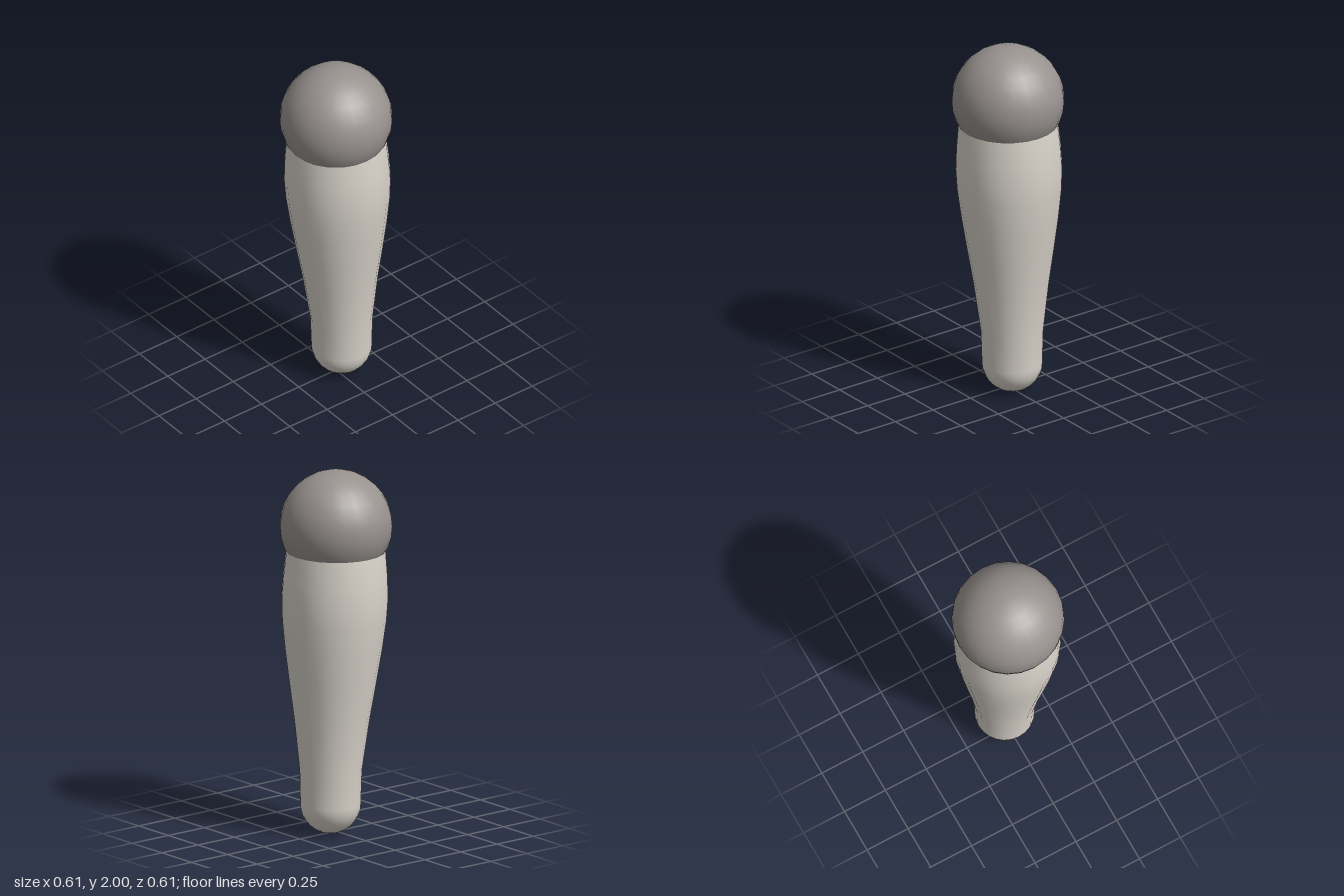
import * as THREE from 'three';

export function createModel() {
  const group = new THREE.Group();
  const darkGrey = new THREE.MeshStandardMaterial({ name: 'warm grey', color: 0x98928f });
  const paleGrey = new THREE.MeshStandardMaterial({ name: 'pale stone', color: 0xd8d3ca });

  // ball joint on top
  const ball = new THREE.Mesh(new THREE.SphereGeometry(0.303, 24, 16), darkGrey);
  ball.name = 'ballJoint';
  ball.position.y = 1.697;
  group.add(ball);

  // tapered limb: rounded tip, then a smooth profile of [radius, height]
  const tip = 0.163;
  const profile = [];
  for (let i = 0; i < 8; i++) {
    const a = (i / 8) * Math.PI / 2;
    profile.push(new THREE.Vector2(tip * Math.sin(a), tip * (1 - Math.cos(a))));
  }
  const side = [
    [tip, 0.163], [0.168, 0.35], [0.203, 0.63], [0.234, 0.83], [0.262, 1.02],
    [0.281, 1.18], [0.287, 1.3], [0.281, 1.42], [0.267, 1.57], [0.25, 1.66], [0, 1.7],
  ];
  side.forEach(([r, y]) => profile.push(new THREE.Vector2(r, y)));
  const limbGeometry = new THREE.LatheGeometry(profile, 24);

  // the limb leans back towards its tip
  const pos = limbGeometry.attributes.position;
  for (let i = 0; i < pos.count; i++) {
    const t = THREE.MathUtils.clamp((1.6 - pos.getY(i)) / 1.3, 0, 1);
    pos.setZ(i, pos.getZ(i) - 0.038 * t);
  }
  const limb = new THREE.Mesh(limbGeometry, paleGrey);
  limb.name = 'taperedLimb';
  group.add(limb);

  return group;
}
